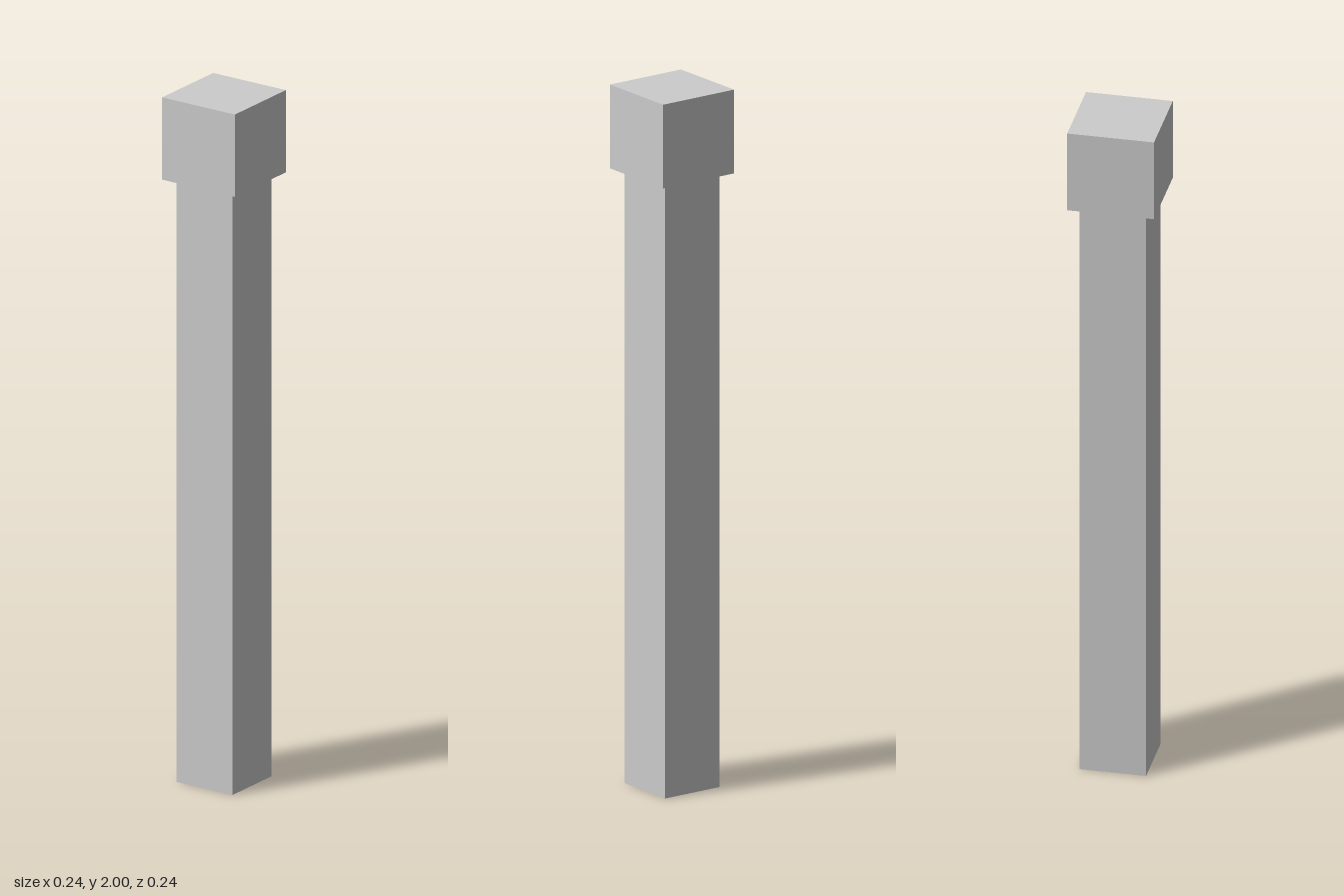
import * as THREE from 'three';

const CAP_WIDTH = 0.244;
const CAP_HEIGHT = 0.24;
const SHAFT_WIDTH = 0.187;
const SHAFT_HEIGHT = 2 - CAP_HEIGHT;

export function createModel() {
  const model = new THREE.Group();
  model.name = 'post';
  const material = new THREE.MeshStandardMaterial({ color: 0xcccccc, flatShading: true });

  // Square block standing on the given height
  function addBlock(name, width, height, bottom) {
    const mesh = new THREE.Mesh(new THREE.BoxGeometry(width, height, width), material);
    mesh.name = name;
    mesh.position.y = bottom + height / 2;
    model.add(mesh);
  }

  // Long square shaft with a wider cube-shaped cap on top
  addBlock('shaft', SHAFT_WIDTH, SHAFT_HEIGHT, 0);
  addBlock('cap', CAP_WIDTH, CAP_HEIGHT, SHAFT_HEIGHT);

  return model;
}
